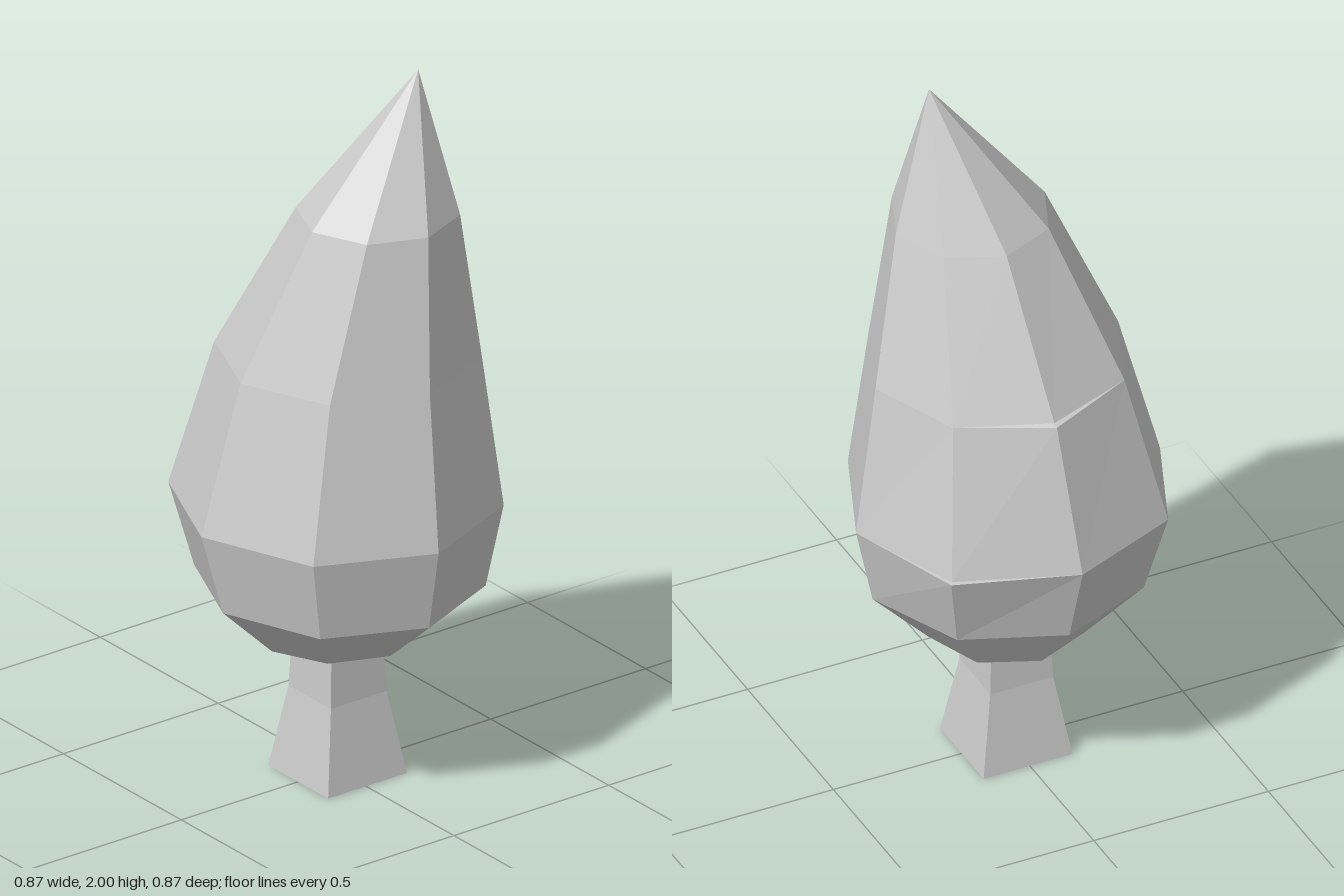
import * as THREE from 'three';

const material = new THREE.MeshStandardMaterial({
  color: 0xcccccc, flatShading: true, side: THREE.DoubleSide,
});

// Horizontal loop of corners; tilt lowers the front and raises the back
function ring(sides, cx, y, cz, r, tilt = 0, turn = 0) {
  return Array.from({ length: sides }, (_, k) => {
    const a = (k / sides) * Math.PI * 2 + turn;
    return new THREE.Vector3(cx + r * Math.sin(a), y - tilt * Math.cos(a), cz + r * Math.cos(a));
  });
}

// Copy of a loop with one corner moved
function withCorner(loop, index, x, y, z) {
  const copy = loop.map((p) => p.clone());
  copy[index].set(x, y, z);
  return copy;
}

// Joins loops from bottom to top with faceted walls
function loft(name, loops) {
  const points = [];
  for (let i = 0; i < loops.length - 1; i++) {
    const low = loops[i], high = loops[i + 1], n = low.length;
    for (let k = 0; k < n; k++) {
      const j = (k + 1) % n;
      for (const [a, b, c] of [[low[k], low[j], high[j]], [low[k], high[j], high[k]]]) {
        const area = b.clone().sub(a).cross(c.clone().sub(a)).length();
        if (area > 1e-7) points.push(a, b, c);
      }
    }
  }
  const geometry = new THREE.BufferGeometry().setFromPoints(points);
  geometry.computeVertexNormals();
  const mesh = new THREE.Mesh(geometry, material);
  mesh.name = name;
  return mesh;
}

export function createModel() {
  const group = new THREE.Group();
  group.name = 'tree';

  // Square flared trunk, open at the ground
  const square = (y, half) => ring(4, 0.005, y, 0, half * Math.SQRT2, 0, Math.PI / 4);
  group.add(loft('trunk', [square(0, 0.127), square(0.23, 0.09), square(0.39, 0.083)]));

  // Foliage loops, leaning towards the tip
  const widest = ring(8, 0, 0.785, 0, 0.435, 0.008);
  const shoulder = ring(8, 0.02, 1.2, 0.025, 0.347);

  // Rounded underside, with one corner standing slightly proud
  group.add(loft('lowerFoliage', [
    ring(8, 0.005, 0.365, 0, 0),
    ring(8, 0.01, 0.395, 0, 0.217, -0.006),
    ring(8, 0.005, 0.555, 0.01, 0.378, 0.008),
    withCorner(widest, 3, 0.322, 0.79, -0.325),
    widest,
  ]));

  // Middle band, ending in a small ledge at the back
  const inset = withCorner(shoulder, 4, 0.022, 1.2, -0.315);
  group.add(loft('middleFoliage', [
    withCorner(widest, 3, 0.314, 0.79, -0.313),
    withCorner(shoulder, 4, 0.022, 1.195, -0.33),
    inset,
  ]));

  // Leaning pointed crown
  group.add(loft('crown', [
    inset,
    ring(8, 0.058, 1.61, 0.102, 0.213, -0.003),
    ring(8, 0.155, 2, 0.145, 0),
  ]));

  return group;
}
